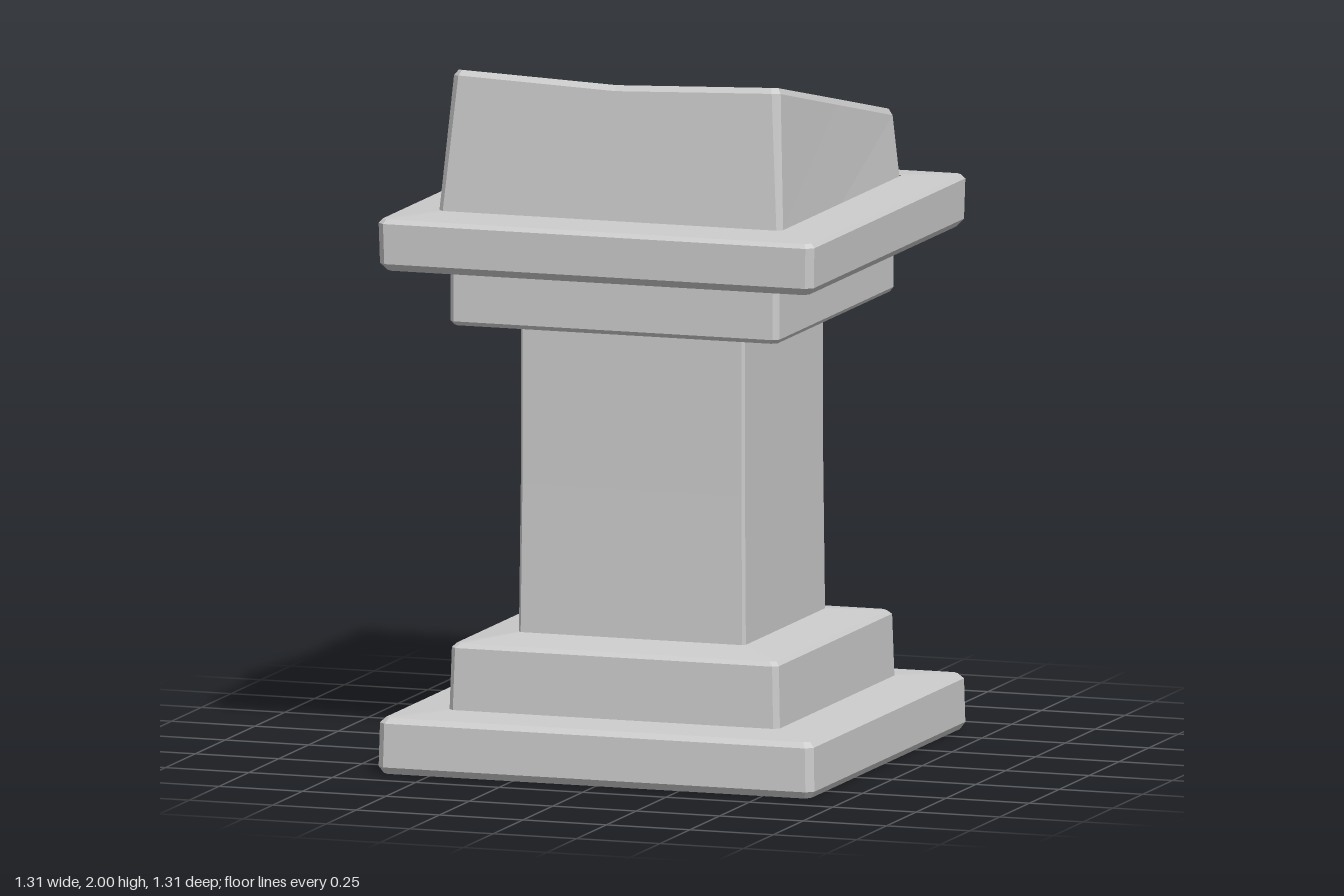
import * as THREE from 'three';

const material = new THREE.MeshStandardMaterial({ color: 0xcccccc, flatShading: true });

// Square ring with clipped corners and side midpoints, counterclockwise from above.
// x0..x1 and z0..z1 are its bounds, c the corner clip, y a height or a rule y(x, z).
function ring(x0, x1, z0, z1, y, c) {
  const mx = (x0 + x1) / 2, mz = (z0 + z1) / 2;
  const outline = [
    [x1, mz], [x1, z0 + c], [x1 - c, z0],
    [mx, z0], [x0 + c, z0], [x0, z0 + c],
    [x0, mz], [x0, z1 - c], [x0 + c, z1],
    [mx, z1], [x1 - c, z1], [x1, z1 - c],
  ];
  return outline.map(([x, z]) => [x, typeof y === 'function' ? y(x, z) : y, z]);
}

const square = (half, y, c = 0.015) => ring(-half, half, -half, half, y, c);

// Skin between successive rings
function loft(name, rings) {
  const pos = [];
  for (let i = 0; i < rings.length - 1; i++) {
    const n = rings[i].length;
    for (let j = 0; j < n; j++) {
      const k = (j + 1) % n;
      const a = rings[i][j], b = rings[i][k], c = rings[i + 1][k], d = rings[i + 1][j];
      pos.push(...a, ...b, ...c, ...a, ...c, ...d);
    }
  }
  const geometry = new THREE.BufferGeometry();
  geometry.setAttribute('position', new THREE.Float32BufferAttribute(pos, 3));
  geometry.computeVertexNormals();
  const mesh = new THREE.Mesh(geometry, material);
  mesh.name = name;
  return mesh;
}

// Sloping rim: high at the front, worn down in the middle of the front edge
const slope = (x, z) => 1.895 + 0.222 * z;
const rim = (x, z) => slope(x, z) + (z > 0.3 ? -0.02 * (1 - (x / 0.49) ** 2) : 0);

export function createModel() {
  const group = new THREE.Group();
  group.name = 'pedestalBasin';
  group.add(
    // Foot slab with its underside
    loft('baseSlab', [
      square(0, 0, 0), square(0.64, 0), square(0.653, 0.02, 0.02),
      square(0.65, 0.145, 0.02), square(0.635, 0.16), square(0.495, 0.168),
    ]),
    loft('baseStep', [
      square(0.495, 0.168), square(0.49, 0.345), square(0.478, 0.357), square(0.34, 0.375, 0.008),
    ]),
    loft('shaft', [
      square(0.34, 0.375, 0.008), square(0.336, 0.8, 0.008), square(0.336, 1.27, 0.008),
    ]),
    loft('collar', [
      square(0.336, 1.27, 0.008), square(0.485, 1.268), square(0.493, 1.28), square(0.493, 1.442),
    ]),
    loft('capSlab', [
      square(0.493, 1.442), square(0.632, 1.439), square(0.65, 1.46, 0.02),
      square(0.653, 1.575, 0.02), square(0.642, 1.587), square(0.51, 1.597),
    ]),
    // Tapered block with a square bowl sunk into its slanted top
    loft('basin', [
      ring(-0.52, 0.51, -0.495, 0.51, 1.597, 0.015),
      ring(-0.487, 0.492, -0.493, 0.485, (x, z) => rim(x, z) - 0.018, 0.02),
      ring(-0.475, 0.482, -0.483, 0.473, rim, 0.015),
      ring(-0.36, 0.39, -0.39, 0.365, (x, z) => rim(x, z) - 0.008, 0.01),
      ring(-0.26, 0.29, -0.29, 0.275, (x, z) => slope(x, z) - 0.145, 0.01),
      ring(0.015, 0.015, 0, 0, (x, z) => slope(x, z) - 0.155, 0),
    ]),
  );
  return group;
}
